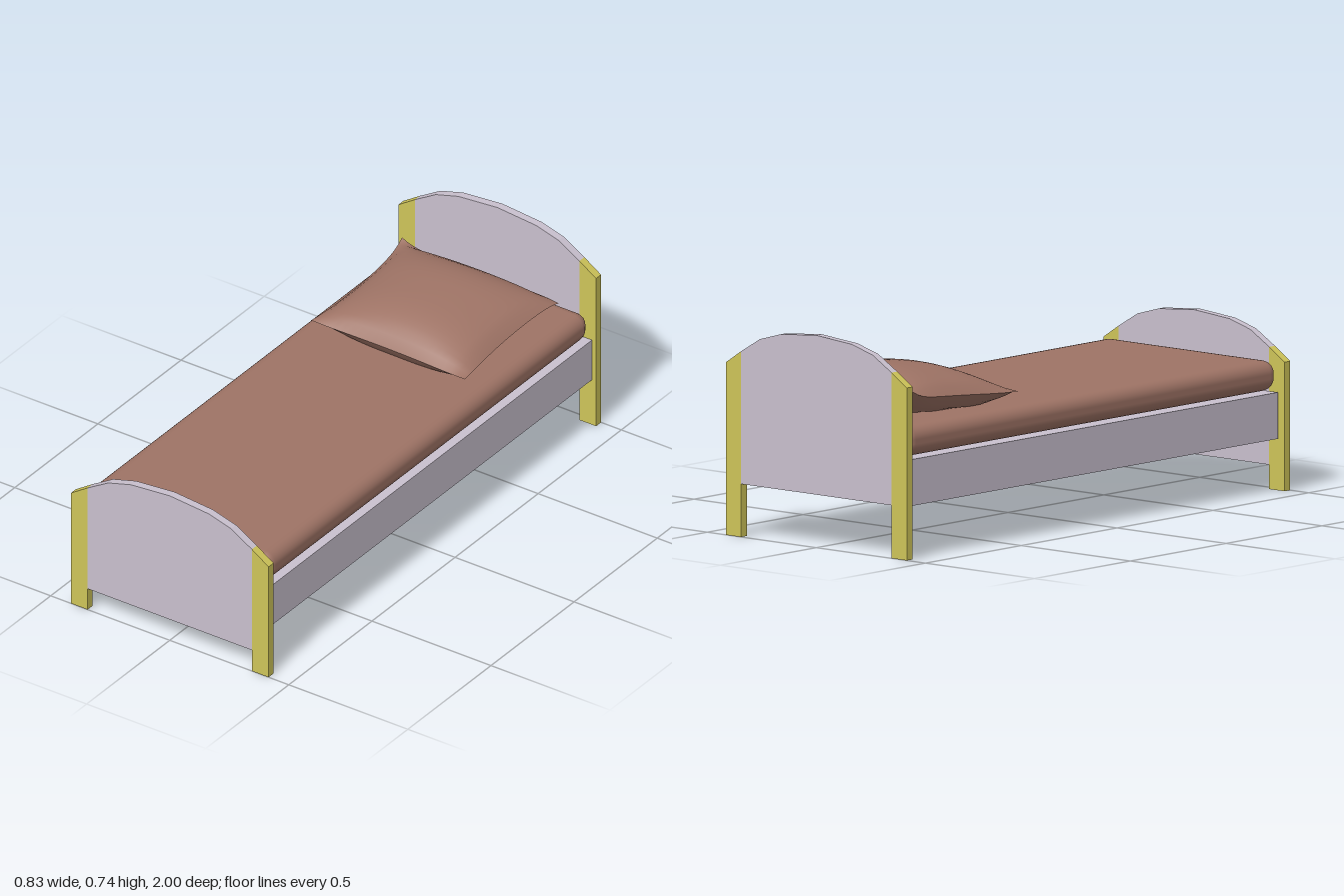
import * as THREE from 'three';
import { RoundedBoxGeometry } from 'three/addons/geometries/RoundedBoxGeometry.js';
import { mergeGeometries } from 'three/addons/utils/BufferGeometryUtils.js';

const material = (name, color) => {
  const m = new THREE.MeshStandardMaterial({ color });
  m.name = name;
  return m;
};

function addMesh(parent, name, geometry, mat, x = 0, y = 0, z = 0) {
  const mesh = new THREE.Mesh(geometry, mat);
  mesh.name = name;
  mesh.position.set(x, y, z);
  parent.add(mesh);
  return mesh;
}

// Flat board cut from an outline of [x, y] corners
function board(points, depth) {
  const shape = new THREE.Shape(points.map(([x, y]) => new THREE.Vector2(x, y)));
  return new THREE.ExtrudeGeometry(shape, { depth, bevelEnabled: false });
}

// Arched end: one panel between two posts with sloping tops
function endBoard(name, bottom, arch, z, panelMat, postMat) {
  const group = new THREE.Group();
  group.name = name;
  const [outer, ...inner] = arch;
  const left = inner.slice(0, -1).map(([x, y]) => [-x, y]).reverse();
  const edge = inner[0][0];
  // panel: bottom edge, then the arch from right to left
  addMesh(group, name + 'Panel', board([[-edge, bottom], [edge, bottom], ...inner, ...left], 0.03), panelMat, 0, 0, z);
  for (const side of [-1, 1]) {
    const pts = [[edge, 0], [outer[0], 0], outer, inner[0]].map(([x, y]) => [x * side, y]);
    addMesh(group, name + (side > 0 ? 'LeftPost' : 'RightPost'), board(pts, 0.03), postMat, 0, 0, z);
  }
  return group;
}

// Puffed cushion: two bulging sheets meeting at a seam, tilted up at the back
function pillowGeometry() {
  const sheets = [1, -1].map((side) => {
    const g = new THREE.PlaneGeometry(2, 2, 20, 20);
    const p = g.attributes.position;
    for (let i = 0; i < p.count; i++) {
      const u = p.getX(i), v = -p.getY(i) * side; // v = 1 at the front
      const puff = Math.pow((1 - u * u) * (1 - Math.pow(Math.abs(v), 3)), 0.65);
      const corner = Math.pow(Math.abs(u * v), 6);
      const x = u * (0.326 - 0.018 * (1 - v * v)) - 0.004 * v;
      const z = -0.59 + v * (0.272 - 0.012 * (1 - u * u)) + 0.004 * u * v;
      const seam = 0.515 - 0.022 * v + corner * (0.005 - 0.009 * u * (1 - v));
      const y = side > 0 ? seam + 0.088 * puff : Math.max(0.453, seam - 0.1 * puff);
      p.setXYZ(i, x, y, z);
    }
    g.computeVertexNormals();
    return g;
  });
  return mergeGeometries(sheets);
}

export function createModel() {
  const bed = new THREE.Group();
  bed.name = 'bed';
  const lilac = material('lilac panel', 0xc9c0ce);
  const yellow = material('yellow post', 0xcec459);
  const brown = material('brown bedding', 0x9e7365);

  // Head and foot ends
  const headArch = [[0.415, 0.602], [0.345, 0.648], [0.258, 0.7], [0.163, 0.727], [0, 0.741]];
  const footArch = headArch.map(([x, y]) => [x, y - 0.152]);
  bed.add(endBoard('headboard', 0.185, headArch, -1, lilac, yellow));
  bed.add(endBoard('footboard', 0.085, footArch, 0.97, lilac, yellow));

  // Solid base between the ends
  addMesh(bed, 'base', new THREE.BoxGeometry(0.796, 0.162, 1.925), lilac, 0, 0.264, -0.0075);

  // Bedding
  addMesh(bed, 'mattress', new RoundedBoxGeometry(0.784, 0.106, 1.938, 3, 0.045), brown, 0, 0.402, -0.001);
  addMesh(bed, 'pillow', pillowGeometry(), brown);
  return bed;
}
